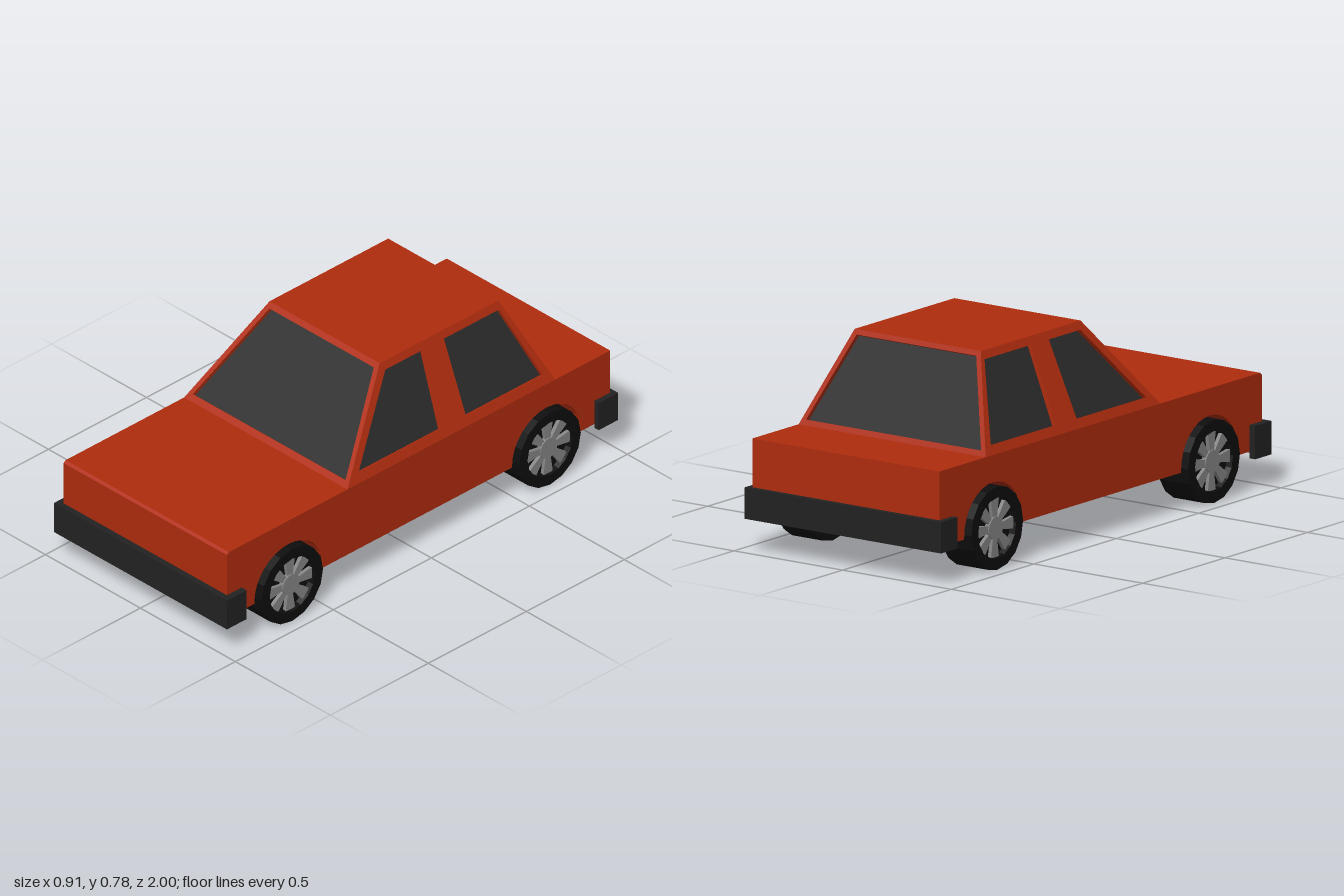
import * as THREE from 'three';

const mat = (color) => new THREE.MeshStandardMaterial({ color, flatShading: true });
const V = (x, y, z) => new THREE.Vector3(x, y, z);

export function createModel() {
  const car = new THREE.Group();
  car.name = 'car';
  const red = mat(0xb02c0e), glass = mat(0x2b2b2b), rubber = mat(0x0e0e0e);
  const trim = mat(0x222222), metal = mat(0x858585);

  const add = (parent, name, geo, material) => {
    const m = new THREE.Mesh(geo, material);
    m.name = name;
    parent.add(m);
    return m;
  };

  const W = 0.43, WELL = 0.29, SILL = 0.145, DECK = 0.43;
  const AXLES = [0.66, -0.655], WHEEL_Y = 0.157;

  // Lower body: side profile (u = -z) extruded across x, optionally with wheel arches
  const bodySlab = (name, x0, x1, arches) => {
    const s = new THREE.Shape();
    s.moveTo(-0.975, SILL);
    if (arches) for (const z of AXLES) {
      s.lineTo(-z - 0.175, SILL);
      s.absarc(-z, SILL + 0.008, 0.175, Math.PI, 0, true);
      s.lineTo(-z + 0.175, SILL);
    }
    s.lineTo(0.98, SILL);
    s.lineTo(0.98, DECK);
    s.lineTo(-0.965, DECK);
    s.lineTo(-0.975, DECK - 0.008);
    const g = new THREE.ExtrudeGeometry(s, { depth: x1 - x0, bevelEnabled: false, curveSegments: 8 });
    g.rotateY(Math.PI / 2).translate(x0, 0, 0);
    add(car, name, g, red);
  };
  bodySlab('bodyCore', -WELL, WELL, false);
  bodySlab('leftFlank', WELL, W, true);
  bodySlab('rightFlank', -W, -WELL, true);

  // Cabin: flat panels with window openings and recessed panes
  const cabin = new THREE.Group();
  cabin.name = 'cabin';
  car.add(cabin);
  const T = 0.018;
  const panel = (name, corners, windows = []) => {
    const [a, b, , d] = corners;
    const u = b.clone().sub(a).normalize();
    const n = u.clone().cross(d.clone().sub(a)).normalize();
    const v = n.clone().cross(u);
    const frame = new THREE.Matrix4().makeBasis(u, v, n).setPosition(a);
    const flat = (pts) => pts.map((p) => {
      const q = p.clone().sub(a);
      return new THREE.Vector2(q.dot(u), q.dot(v));
    });
    const s = new THREE.Shape(flat(corners));
    s.holes = windows.map((w) => new THREE.Path(flat(w)));
    const g = new THREE.ExtrudeGeometry(s, { depth: T, bevelEnabled: false });
    add(cabin, name, g.translate(0, 0, -T).applyMatrix4(frame), red);
    for (const w of windows) {
      const pane = new THREE.ShapeGeometry(new THREE.Shape(flat(w)));
      add(cabin, name + 'Glass', pane.translate(0, 0, -T + 0.002).applyMatrix4(frame), glass);
    }
  };

  const ROOF = 0.78, RX = 0.29, F0 = 0.36, F1 = 0.06, B0 = -0.7, B1 = -0.545;
  const at = (lo, hi, y) => lo + (hi - lo) * (y - DECK) / (ROOF - DECK);

  panel('roof', [V(-RX, ROOF, F1), V(RX, ROOF, F1), V(RX, ROOF, B1), V(-RX, ROOF, B1)]);

  // Windscreen and rear window
  for (const [name, s, z0, z1] of [['windscreen', 1, F0, F1], ['rearWindow', -1, B0, B1]]) {
    const p = (x, y) => V(s * x, y, at(z0, z1, y));
    panel(name,
      [p(-W, DECK), p(W, DECK), p(RX, ROOF), p(-RX, ROOF)],
      [[p(-0.402, 0.45), p(0.402, 0.45), p(0.275, 0.762), p(-0.275, 0.762)]]);
  }

  // Sides with two windows each
  for (const s of [1, -1]) {
    const p = (z, y) => V(s * at(W, RX, y), y, z);
    const quad = [p(F0, DECK), p(B0, DECK), p(B1, ROOF), p(F1, ROOF)];
    if (s < 0) quad.reverse();
    panel(s > 0 ? 'leftSide' : 'rightSide', quad, [
      [p(0.29, 0.465), p(-0.13, 0.465), p(-0.148, 0.75), p(0.043, 0.75)],
      [p(-0.258, 0.465), p(-0.65, 0.465), p(-0.538, 0.75), p(-0.256, 0.75)],
    ]);
  }

  // Bumpers: U-shaped bars hugging the body ends
  for (const [name, s, hw, y0] of [['frontBumper', 1, 0.456, 0.12], ['rearBumper', -1, 0.452, 0.128]]) {
    const shape = new THREE.Shape([
      [-hw, 1], [hw, 1], [hw, 0.9], [W, 0.9], [W, 0.972], [-W, 0.972], [-W, 0.9], [-hw, 0.9],
    ].map(([x, z]) => new THREE.Vector2(x, -s * z)));
    const g = new THREE.ExtrudeGeometry(shape, { depth: 0.246 - y0, bevelEnabled: false });
    g.rotateX(-Math.PI / 2).translate(0, y0, 0);
    add(car, name, g, trim);
  }

  // Wheels: dished tyre, eight flared spokes and a hub, axis along local z
  const makeWheel = () => {
    const wheel = new THREE.Group();
    const profile = [[0, -0.07], [0.157, -0.07], [0.157, 0.07], [0.115, 0.07], [0.112, 0.045], [0, 0.045]]
      .map(([r, h]) => new THREE.Vector2(r, h));
    add(wheel, 'tyre', new THREE.LatheGeometry(profile, 16).rotateX(Math.PI / 2), rubber);
    const spoke = new THREE.Shape([[0.03, -0.011], [0.111, -0.024], [0.111, 0.024], [0.03, 0.011]]
      .map(([x, y]) => new THREE.Vector2(x, y)));
    const spokeGeo = new THREE.ExtrudeGeometry(spoke, { depth: 0.016, bevelEnabled: false });
    spokeGeo.translate(0, 0, 0.044);
    for (let i = 0; i < 8; i++) {
      add(wheel, 'spoke', spokeGeo, metal).rotation.z = i * Math.PI / 4;
    }
    const hub = new THREE.CylinderGeometry(0.043, 0.043, 0.022, 16).rotateX(Math.PI / 2);
    add(wheel, 'hub', hub.translate(0, 0, 0.054), metal);
    return wheel;
  };
  AXLES.forEach((z, i) => {
    for (const s of [1, -1]) {
      const w = makeWheel();
      w.name = (i ? 'rear' : 'front') + (s > 0 ? 'Left' : 'Right') + 'Wheel';
      w.position.set(s * 0.379, WHEEL_Y, z);
      w.rotation.y = s * Math.PI / 2;
      car.add(w);
    }
  });

  return car;
}
